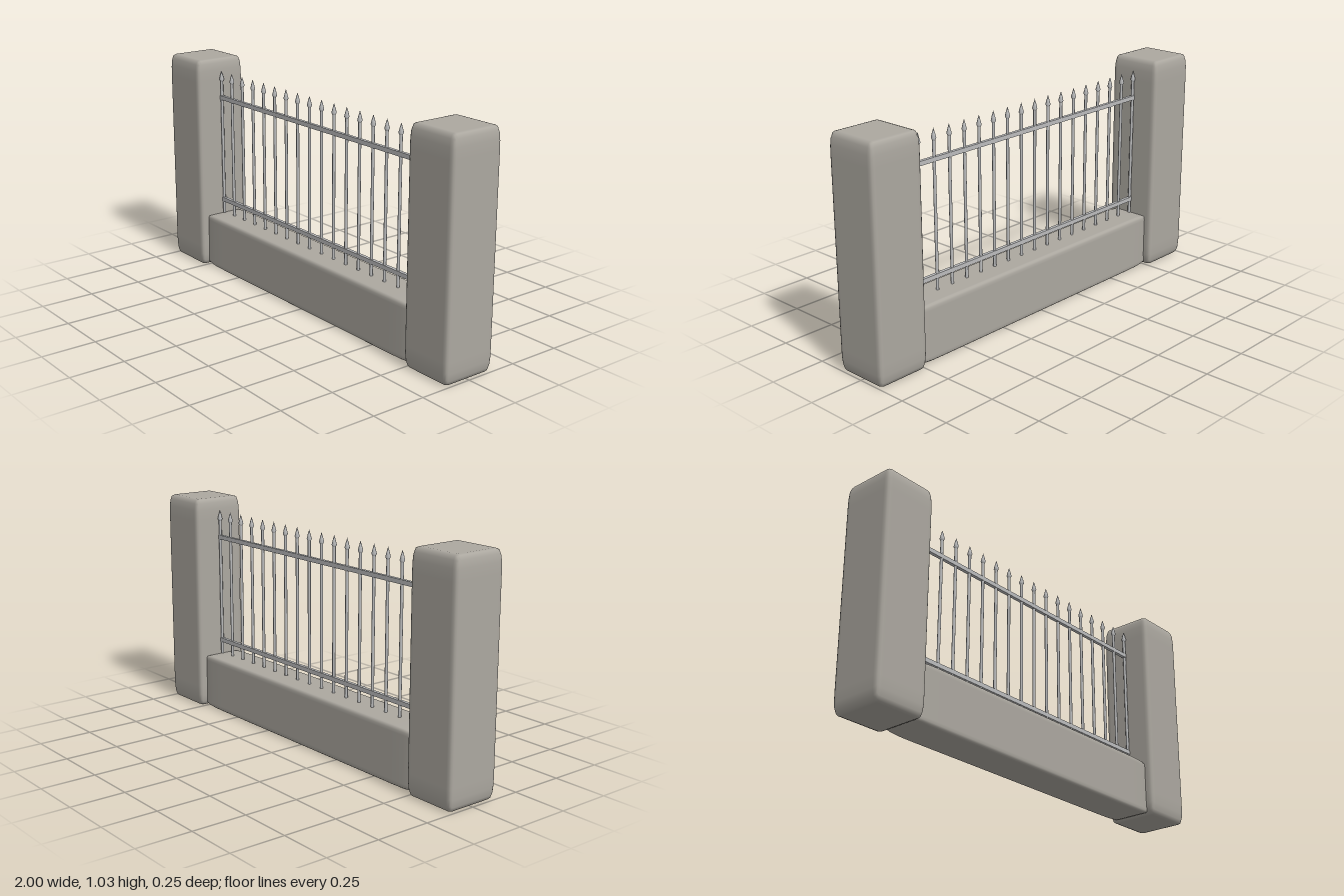
import * as THREE from 'three';
import { RoundedBoxGeometry } from 'three/addons/geometries/RoundedBoxGeometry.js';

// Unit cube with soft bevels, fuller at the corners than a circular arc
function createBlock() {
  const radius = 0.1, inner = 0.5 - radius;
  const geometry = new RoundedBoxGeometry(1, 1, 1, 2, radius);
  const { position, normal } = geometry.attributes;
  const corner = new THREE.Vector3(), n = new THREE.Vector3();
  for (let i = 0; i < position.count; i++) {
    n.fromBufferAttribute(normal, i);
    corner.fromBufferAttribute(position, i).addScaledVector(n, -radius);
    const size = Math.cbrt(Math.abs(n.x) ** 3 + Math.abs(n.y) ** 3 + Math.abs(n.z) ** 3);
    corner.clampScalar(-inner, inner).addScaledVector(n, radius / size);
    position.setXYZ(i, corner.x, corner.y, corner.z);
    n.set(n.x * Math.abs(n.x), n.y * Math.abs(n.y), n.z * Math.abs(n.z)).normalize();
    normal.setXYZ(i, n.x, n.y, n.z);
  }
  return geometry;
}

export function createModel() {
  const fence = new THREE.Group();
  fence.name = 'fence';

  const stone = new THREE.MeshStandardMaterial({ color: 0xaca8a0 });
  stone.name = 'stone';
  const metal = new THREE.MeshStandardMaterial({ color: 0xbcbdbe });
  metal.name = 'metal';

  function add(name, geometry, material, x, y) {
    const mesh = new THREE.Mesh(geometry, material);
    mesh.name = name;
    mesh.position.set(x, y, 0);
    fence.add(mesh);
    return mesh;
  }

  // Stone pillars and low wall: one block, stretched so the bevels stretch with it
  const block = createBlock();
  const pillarHeight = 1.032;
  for (const [name, side] of [['leftPillar', 1], ['rightPillar', -1]]) {
    add(name, block, stone, side * 0.873, pillarHeight / 2)
      .scale.set(0.254, pillarHeight, 0.254);
  }
  add('lowWall', block, stone, 0, 0.131).scale.set(1.54, 0.262, 0.19);

  // Horizontal rails
  const railGeometry = new THREE.BoxGeometry(1.484, 0.02, 0.016);
  add('lowerRail', railGeometry, metal, 0, 0.327);
  add('upperRail', railGeometry, metal, 0, 0.842);

  // Upright bars with pointed spear tips
  const barBottom = 0.2, barTop = 0.93, count = 18, reach = 0.737;
  const barGeometry = new THREE.CylinderGeometry(0.007, 0.007, barTop - barBottom, 10);
  const tipGeometry = new THREE.LatheGeometry([
    new THREE.Vector2(0.007, 0),
    new THREE.Vector2(0.0115, 0.009),
    new THREE.Vector2(0.0065, 0.03),
    new THREE.Vector2(0, 0.052),
  ], 10);
  for (let i = 0; i < count; i++) {
    const x = -reach + (2 * reach * i) / (count - 1);
    add('bar', barGeometry, metal, x, (barBottom + barTop) / 2);
    add('spearTip', tipGeometry, metal, x, 0.922);
  }

  return fence;
}
